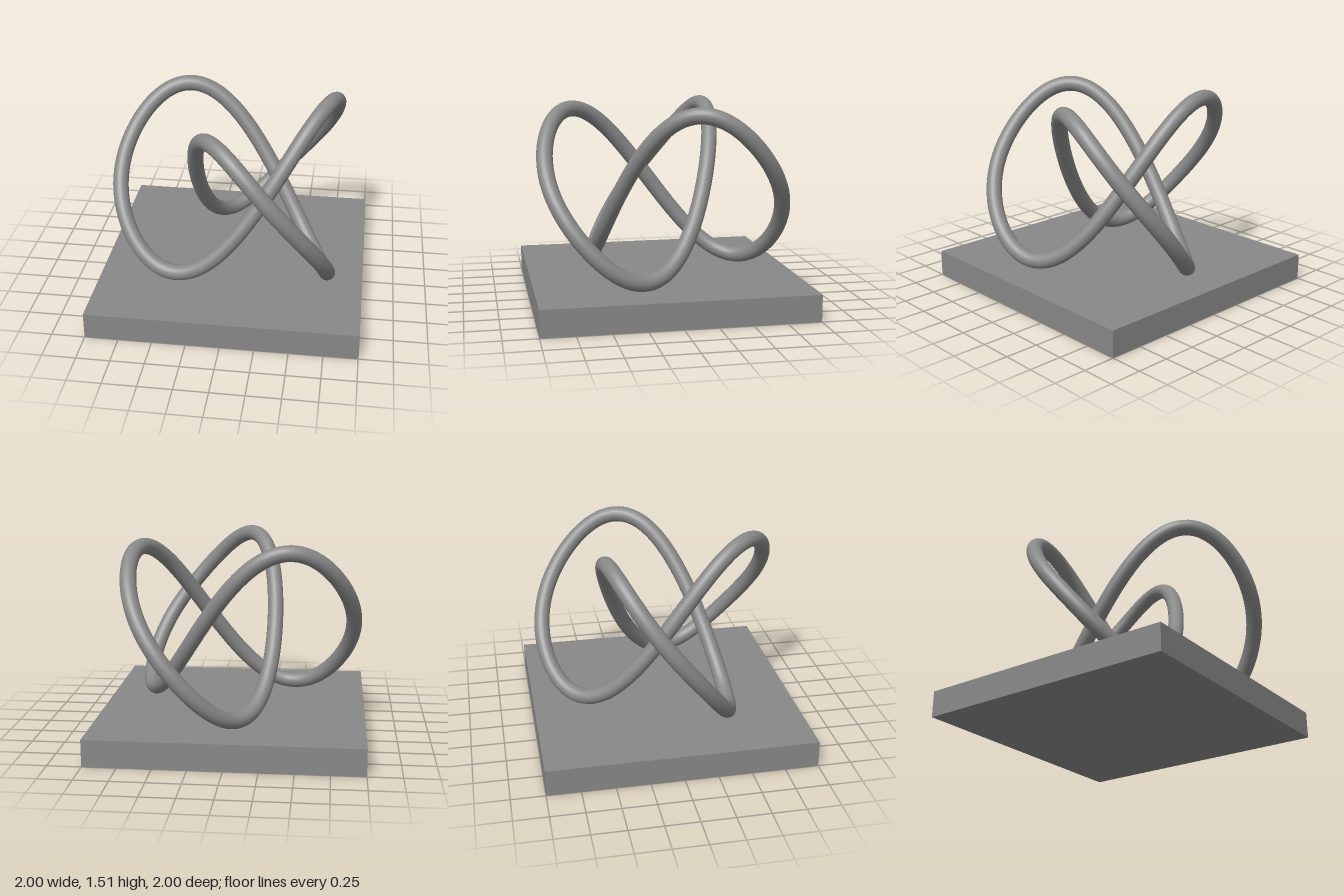
import * as THREE from 'three';

// Closed trefoil path: two harmonics in plan, three rises and falls in height
class TrefoilCurve extends THREE.Curve {
  getPoint(u, target = new THREE.Vector3()) {
    const t = u * Math.PI * 2;
    return target.set(
      0.056 + 0.302 * Math.cos(t) - 0.662 * Math.cos(2 * t),
      0.858 + 0.576 * (Math.sin(3 * t) + 0.13 * Math.sin(6 * t)),
      0.007 + 0.302 * Math.sin(t) + 0.662 * Math.sin(2 * t)
    );
  }
}

export function createModel() {
  const group = new THREE.Group();
  group.name = 'knotSculpture';
  const material = new THREE.MeshStandardMaterial({ color: 0x888888 });

  // Square slab
  const base = new THREE.Mesh(new THREE.BoxGeometry(2, 0.2, 2), material);
  base.name = 'base';
  base.position.y = 0.1;
  group.add(base);

  // Round tube swept along the knot, resting on the slab
  const knot = new THREE.Mesh(
    new THREE.TubeGeometry(new TrefoilCurve(), 300, 0.06, 24, true),
    material
  );
  knot.name = 'knot';
  group.add(knot);

  return group;
}
